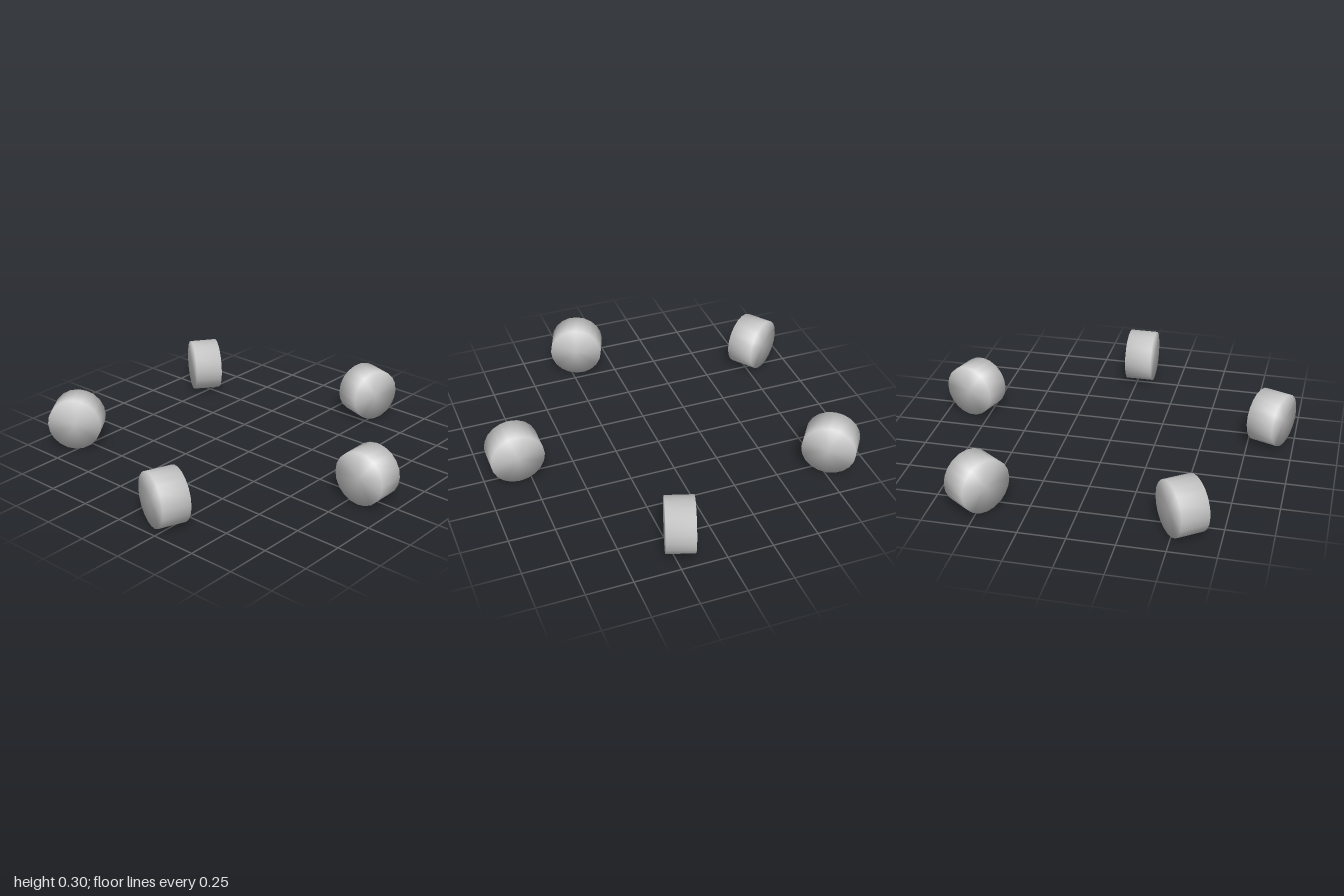
import * as THREE from 'three';
import { mergeVertices } from 'three/addons/utils/BufferGeometryUtils.js';

const RADIUS = 0.148;
const WIDTH = 0.154;

// Solid wheel lying along z, with normals blended over the rim
function wheelGeometry() {
  const g = new THREE.CylinderGeometry(RADIUS, RADIUS, WIDTH, 20);
  g.rotateX(Math.PI / 2);
  g.deleteAttribute('uv');
  g.deleteAttribute('normal');
  const merged = mergeVertices(g, 1e-4);
  merged.computeVertexNormals();
  return merged;
}

export function createModel() {
  const model = new THREE.Group();
  model.name = 'wheelSet';
  const material = new THREE.MeshStandardMaterial({ color: 0xcccccc });
  const geometry = wheelGeometry();

  // Ring of five caster wheels: name, x, z, swivel in degrees
  const wheels = [
    ['leftWheel', 0.817, 0.016, 0],
    ['backWheel', 0.198, -0.838, 72],
    ['backRightWheel', -0.805, -0.512, -36],
    ['frontRightWheel', -0.805, 0.543, 36],
    ['frontWheel', 0.198, 0.87, -21],
  ];
  for (const [name, x, z, swivel] of wheels) {
    const wheel = new THREE.Mesh(geometry, material);
    wheel.name = name;
    wheel.position.set(x, RADIUS, z);
    wheel.rotation.y = THREE.MathUtils.degToRad(swivel);
    model.add(wheel);
  }
  return model;
}
